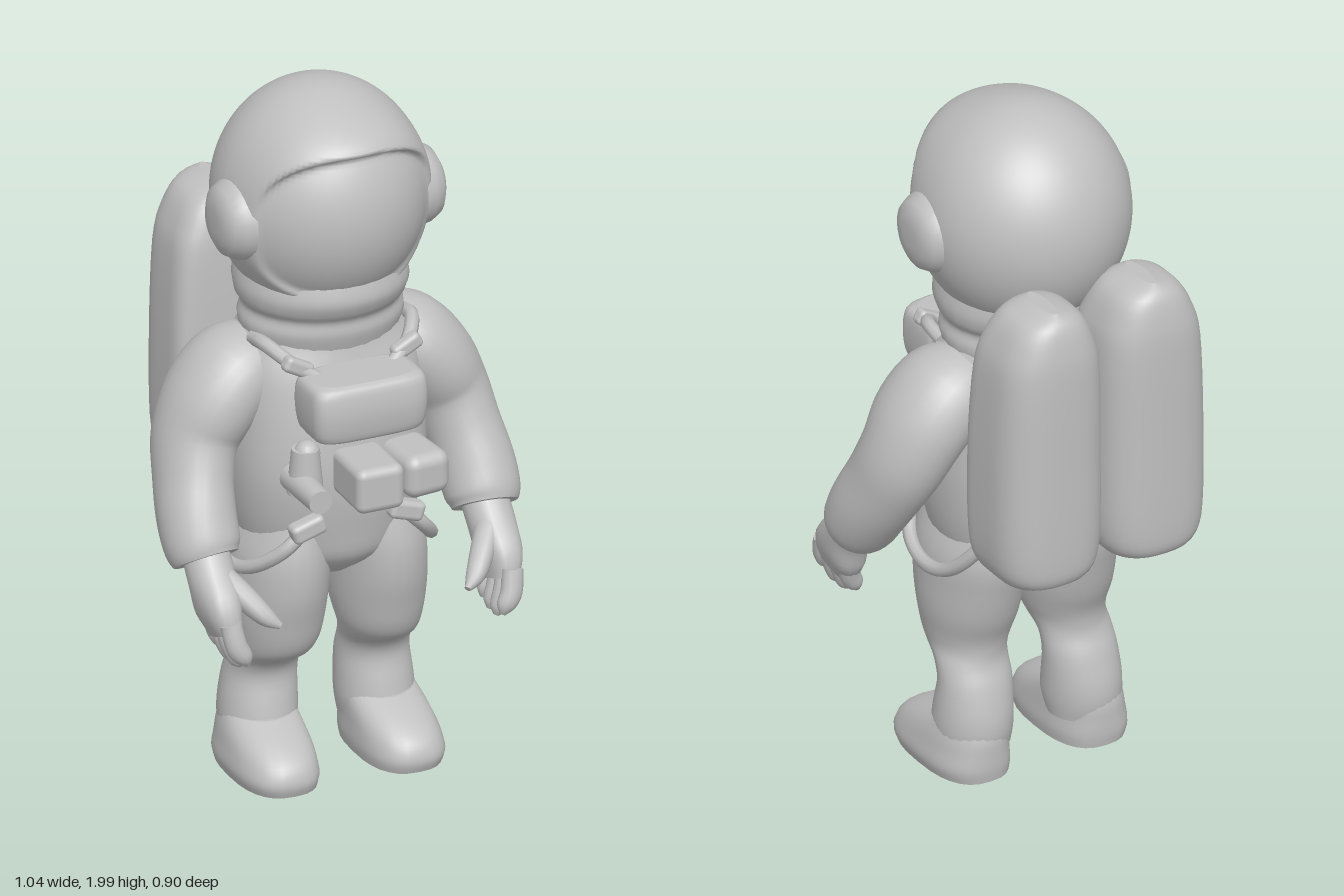
import * as THREE from 'three';
import { RoundedBoxGeometry } from 'three/addons/geometries/RoundedBoxGeometry.js';

const suit = new THREE.MeshStandardMaterial({ color: 0xc0c0c0 });
suit.name = 'suitGrey';

// Smooth closed body through rings
// [x, y, z, halfWidth, halfDepth, squareness = 2, rear squareness = the same].
// Rings lie flat, or across the path when "follow" is set.
function loft(rings, { n = 28, steps = 4, follow = false } = {}) {
  const at = (k, i) => {
    const r = rings[Math.min(Math.max(i, 0), rings.length - 1)];
    return r[k] ?? r[5] ?? 2;
  };
  const sample = (k, t) => {
    const i = Math.min(Math.floor(t), rings.length - 2), f = t - i;
    const [a, b, c, d] = [at(k, i - 1), at(k, i), at(k, i + 1), at(k, i + 2)];
    return b + 0.5 * f * (c - a + f * (2 * a - 5 * b + 4 * c - d + f * (3 * (b - c) + d - a)));
  };
  const rows = (rings.length - 1) * steps, pos = [], idx = [];
  const centre = (t) => new THREE.Vector3(sample(0, t), sample(1, t), sample(2, t));
  const rising = rings[rings.length - 1][1] > rings[0][1] ? 1 : -1;
  const addRing = (r) => {
    const t = r / steps, c = centre(t);
    const w = follow
      ? centre(Math.min(t + 0.1, rings.length - 1)).sub(centre(Math.max(t - 0.1, 0))).normalize()
      : new THREE.Vector3(0, rising, 0);
    const v = new THREE.Vector3(0, 0, 1).addScaledVector(w, -w.z).normalize();
    const u = new THREE.Vector3().crossVectors(v, w);
    const a = Math.max(sample(3, t), 0.002), b = Math.max(sample(4, t), 0.002);
    for (let j = 0; j < n; j++) {
      const q = (j / n) * Math.PI * 2, cs = Math.cos(q), sn = Math.sin(q);
      const e = 2 / sample(sn < 0 ? 6 : 5, t);
      const p = c.clone()
        .addScaledVector(u, a * Math.sign(cs) * Math.abs(cs) ** e)
        .addScaledVector(v, b * Math.sign(sn) * Math.abs(sn) ** e);
      pos.push(p.x, p.y, p.z);
    }
    return c;
  };
  for (let r = 0; r <= rows; r++) addRing(r);
  for (let r = 0; r < rows; r++) for (let j = 0; j < n; j++) {
    const a = r * n + j, b = r * n + (j + 1) % n;
    idx.push(a, b, b + n, a, b + n, a + n);
  }
  // flat end caps
  for (const r of [0, rows]) {
    const base = pos.length / 3, c = addRing(r);
    pos.push(c.x, c.y, c.z);
    for (let j = 0; j < n; j++) {
      const k = base + (j + 1) % n;
      if (r) idx.push(base + n, base + j, k); else idx.push(base + n, k, base + j);
    }
  }
  const g = new THREE.BufferGeometry();
  g.setAttribute('position', new THREE.Float32BufferAttribute(pos, 3));
  g.setIndex(idx);
  g.computeVertexNormals();
  return g;
}

// Helmet: an ellipsoid whose front is sunk into a visor below a full, raised brow.
function helmetGeometry() {
  const g = new THREE.SphereGeometry(1, 96, 80), p = g.attributes.position;
  for (let i = 0; i < p.count; i++) {
    const x = p.getX(i) * 0.295, y = p.getY(i) * 0.325, z = p.getZ(i);
    let d = z * 0.302;
    if (z > 0) {
      const m = (Math.abs(x) / 0.26) ** 2.5 + (Math.abs(y + 0.01) / 0.215) ** 2.5;
      const inside = 1 - THREE.MathUtils.smoothstep(m, 0.8, 1.1);
      const rim = Math.exp(-(((m - 1.12) / (m < 1.12 ? 0.16 : 1.1)) ** 2));
      const fade = THREE.MathUtils.smoothstep(z, 0, 0.5);
      d += fade * rim * (y > 0 ? 0.01 + 0.16 * y : 0.01) - 0.015 * inside;
    }
    p.setXYZ(i, x, 1.675 + y, 0.04 + d);
  }
  g.computeVertexNormals();
  return g;
}

export function createModel() {
  const model = new THREE.Group();
  const add = (name, geometry, x = 0, y = 0, z = 0) => {
    const m = new THREE.Mesh(geometry, suit);
    m.name = name;
    m.position.set(x, y, z);
    model.add(m);
    return m;
  };
  const tube = (pts, r) => new THREE.TubeGeometry(
    new THREE.CatmullRomCurve3(pts.map((p) => new THREE.Vector3(...p))), 32, r, 8);

  add('helmet', helmetGeometry());
  add('collar', loft([
    [0, 1.28, 0.04, 0.22, 0.19], [0, 1.33, 0.045, 0.23, 0.2], [0, 1.37, 0.045, 0.22, 0.2],
    [0, 1.4, 0.045, 0.235, 0.22], [0, 1.44, 0.045, 0.24, 0.235], [0, 1.49, 0.04, 0.23, 0.23],
  ]));
  add('torso', loft([
    [0, 0.59, 0.06, 0.06, 0.1], [0, 0.66, 0.055, 0.21, 0.19], [0, 0.75, 0.055, 0.255, 0.215, 2.2],
    [0, 0.9, 0.06, 0.275, 0.23, 2.4], [0, 1.05, 0.055, 0.275, 0.227, 2.4],
    [0, 1.2, 0.045, 0.265, 0.207, 2.4], [0, 1.29, 0.04, 0.24, 0.19], [0, 1.36, 0.04, 0.19, 0.18],
  ], { n: 40 }));

  // chest control box and belt pouches
  add('chestBox', loft([
    [0, 1.085, 0.31, 0.13, 0.07, 4], [0, 1.1, 0.31, 0.16, 0.09, 5], [0, 1.17, 0.31, 0.17, 0.1, 5],
    [0, 1.235, 0.31, 0.165, 0.09, 5], [0, 1.252, 0.31, 0.14, 0.07, 4],
  ]));
  add('middlePouch', new RoundedBoxGeometry(0.14, 0.13, 0.2, 3, 0.025), 0, 0.955, 0.35);
  add('leftPouch', new RoundedBoxGeometry(0.135, 0.125, 0.18, 3, 0.035), 0.145, 0.955, 0.335)
    .rotation.y = 0.12;
  const nozzle = add('nozzle', new THREE.CylinderGeometry(0.034, 0.04, 0.18, 16), -0.175, 0.95, 0.345);
  nozzle.rotation.x = Math.PI / 2;
  add('valve', new THREE.CylinderGeometry(0.038, 0.05, 0.13, 16), -0.16, 0.985, 0.3);
  add('valveCap', new THREE.SphereGeometry(0.036, 16, 12), -0.155, 1.035, 0.3);

  const earProfile = [[0.118, 0], [0.112, 0.03], [0.095, 0.06], [0.065, 0.076], [0.03, 0.08], [0, 0.08]]
    .map((p) => new THREE.Vector2(...p));

  for (const s of [1, -1]) {
    const side = s > 0 ? 'left' : 'right';
    const limb = (rings, opt) => loft(rings.map(([x, ...r]) => [s * x, ...r]), opt);
    const strap = (pts, r) => tube(pts.map(([x, y, z]) => [s * x, y, z]), r);

    // domed earpiece
    const ear = add(side + 'Earpiece', new THREE.LatheGeometry(earProfile, 28), s * 0.25, 1.66, 0.08);
    ear.rotation.z = -s * Math.PI / 2;

    // air tank, square in front and round behind
    add(side + 'Tank', limb([
      [0.162, 0.765, -0.3, 0.09, 0.1, 3.5, 2.4], [0.162, 0.79, -0.305, 0.135, 0.13, 5, 2.6],
      [0.162, 0.88, -0.305, 0.158, 0.141, 6, 2.7], [0.162, 1.15, -0.305, 0.16, 0.143, 6, 2.7],
      [0.159, 1.4, -0.308, 0.152, 0.14, 5, 2.7], [0.157, 1.5, -0.31, 0.13, 0.13, 4, 2.6],
      [0.155, 1.57, -0.313, 0.09, 0.107, 3, 2.4], [0.155, 1.6, -0.315, 0.02, 0.07],
    ], { n: 40 }));

    // sleeve and cuff
    add(side + 'Arm', limb([
      [0.16, 1.25, 0.03, 0.07, 0.1], [0.24, 1.2, 0.03, 0.12, 0.145], [0.315, 1.12, 0.035, 0.125, 0.155],
      [0.368, 1.02, 0.045, 0.115, 0.138], [0.395, 0.92, 0.09, 0.106, 0.125],
      [0.41, 0.83, 0.145, 0.107, 0.115], [0.412, 0.76, 0.19, 0.104, 0.105], [0.41, 0.73, 0.21, 0.09, 0.092],
    ], { follow: true }));

    // gloved hand
    add(side + 'Palm', limb([
      [0.41, 0.75, 0.2, 0.065, 0.065], [0.412, 0.69, 0.25, 0.065, 0.068],
      [0.412, 0.62, 0.295, 0.055, 0.085, 2.5], [0.402, 0.56, 0.32, 0.038, 0.075, 2.5],
    ], { n: 20, follow: true }));
    for (let i = 0; i < 4; i++) {
      const z = 0.258 + i * 0.043, drop = [0.015, 0, 0, 0.02][i];
      add(side + 'Finger', limb([
        [0.415, 0.61, z - 0.01, 0.03, 0.026], [0.405, 0.55, z + 0.006, 0.031, 0.026],
        [0.385, 0.495 + drop, z + 0.012, 0.026, 0.022], [0.375, 0.472 + drop, z + 0.014, 0.008, 0.008],
      ], { n: 12, follow: true }));
    }
    add(side + 'Thumb', limb([
      [0.4, 0.71, 0.26, 0.035, 0.04], [0.355, 0.66, 0.32, 0.034, 0.035],
      [0.31, 0.61, 0.37, 0.027, 0.028], [0.275, 0.585, 0.395, 0.009, 0.009],
    ], { n: 12, follow: true }));

    // trouser leg with a full knee, then boot
    add(side + 'Leg', limb([
      [0.13, 0.78, 0.06, 0.1, 0.19], [0.14, 0.68, 0.065, 0.13, 0.205], [0.145, 0.58, 0.075, 0.132, 0.192],
      [0.148, 0.49, 0.078, 0.128, 0.168], [0.15, 0.42, 0.083, 0.116, 0.143],
      [0.155, 0.375, 0.072, 0.105, 0.124], [0.162, 0.335, 0.038, 0.102, 0.094],
      [0.165, 0.28, 0.014, 0.104, 0.092], [0.17, 0.2, 0.012, 0.108, 0.11],
      [0.172, 0.14, 0.015, 0.108, 0.116], [0.172, 0.09, 0.01, 0.1, 0.1],
    ]));
    add(side + 'Boot', limb([
      [0.183, 0.01, 0.095, 0.11, 0.192, 2.6], [0.185, 0.045, 0.097, 0.117, 0.199, 2.6],
      [0.183, 0.09, 0.087, 0.113, 0.19, 2.4], [0.18, 0.13, 0.06, 0.108, 0.162, 2.2],
      [0.175, 0.17, 0.022, 0.1, 0.115],
    ]));

    // harness: hip loop, its buckle, and the shoulder tab
    add(side + 'HipStrap', strap([
      [0.13, 0.81, 0.27], [0.2, 0.74, 0.265], [0.265, 0.665, 0.18], [0.285, 0.64, 0.08],
      [0.28, 0.66, -0.02], [0.25, 0.74, -0.11], [0.2, 0.85, -0.16],
    ], 0.02));
    add(side + 'HipBuckle', new RoundedBoxGeometry(0.1, 0.055, 0.05, 2, 0.015), s * 0.145, 0.8, 0.28)
      .rotation.z = -s * 0.3;
    add(side + 'ShoulderTab', strap([
      [0.11, 1.235, 0.27], [0.17, 1.275, 0.235], [0.215, 1.31, 0.165], [0.22, 1.3, 0.09],
    ], 0.02));
    add(side + 'TabClip', new RoundedBoxGeometry(0.09, 0.045, 0.04, 2, 0.014), s * 0.16, 1.27, 0.25)
      .rotation.z = s * 0.5;
  }
  return model;
}
